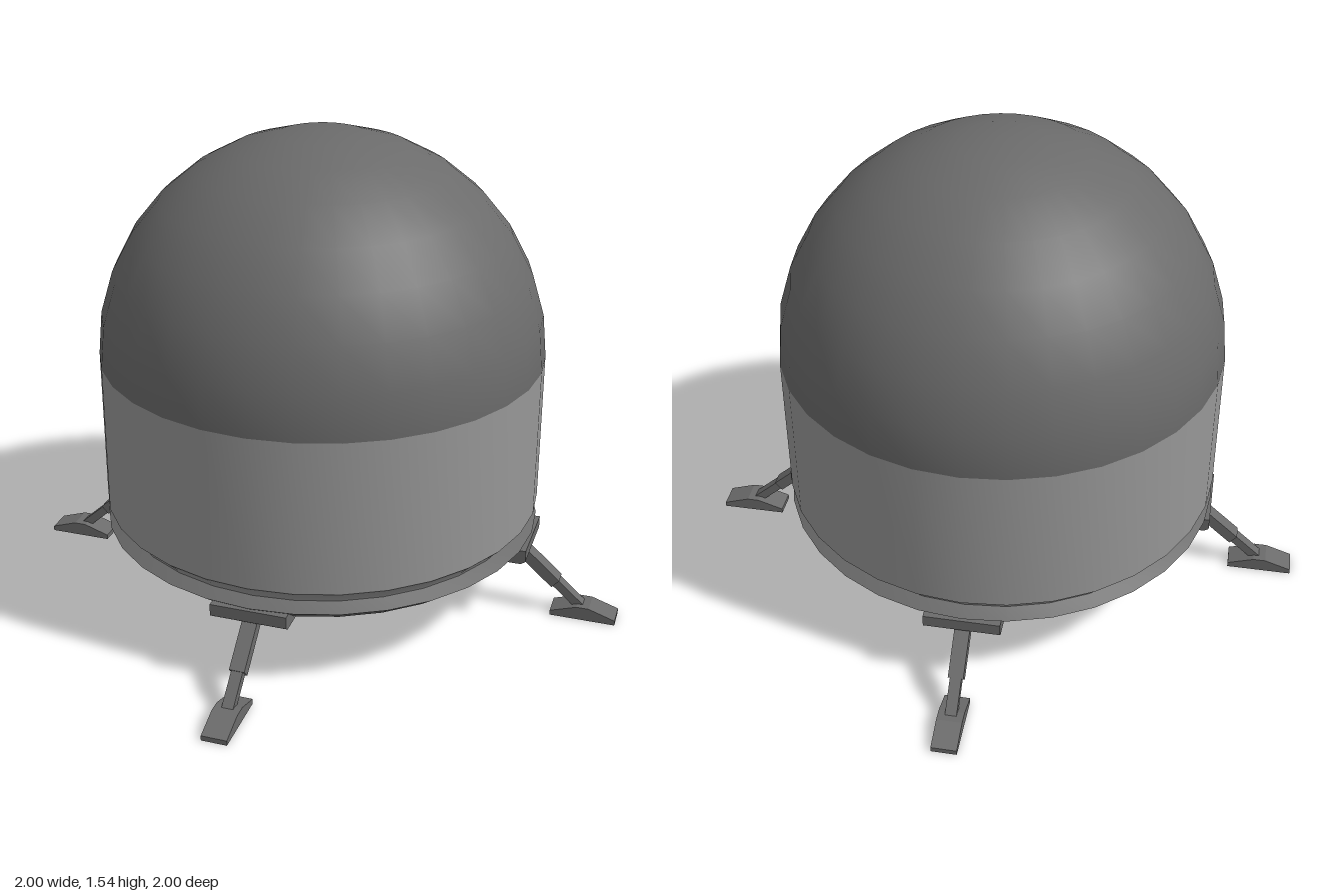
import * as THREE from 'three';
import { toCreasedNormals } from 'three/addons/utils/BufferGeometryUtils.js';

const SIDES = 32;
const RADIUS = 0.71;

const shellGrey = new THREE.MeshStandardMaterial({ color: 0x979797 });
shellGrey.name = 'shellGrey';
const darkGrey = new THREE.MeshStandardMaterial({ color: 0x6b6b6b });
darkGrey.name = 'darkGrey';

function part(name, geometry, material) {
  const mesh = new THREE.Mesh(geometry, material);
  mesh.name = name;
  return mesh;
}

// Turned shape with sharp profile corners and smooth roundness
function turned(points) {
  const profile = points.map(([r, y]) => new THREE.Vector2(r, y));
  return toCreasedNormals(new THREE.LatheGeometry(profile, SIDES), 0.5);
}

// Side profile (radial, height) extruded symmetrically across the given width
function slab(points, width) {
  const shape = new THREE.Shape(points.map(([x, y]) => new THREE.Vector2(x, y)));
  const geometry = new THREE.ExtrudeGeometry(shape, { depth: width, bevelEnabled: false });
  return geometry.translate(0, 0, -width / 2);
}

// Square bar running between two points of the leg plane
function bar(from, to, thickness, width) {
  const dx = to[0] - from[0], dy = to[1] - from[1];
  const geometry = new THREE.BoxGeometry(Math.hypot(dx, dy), thickness, width);
  geometry.rotateZ(Math.atan2(dy, dx));
  return geometry.translate((from[0] + to[0]) / 2, (from[1] + to[1]) / 2, 0);
}

// One landing leg pointing along +x
function createLeg() {
  const leg = new THREE.Group();
  leg.name = 'landingLeg';
  leg.add(
    part('legMount', slab([[0.62, 0.218], [0.7, 0.218], [0.714, 0.228], [0.714, 0.266], [0.62, 0.266]], 0.24), darkGrey),
    part('upperStrut', bar([0.655, 0.235], [0.8, 0.107], 0.036, 0.048), darkGrey),
    part('lowerStrut', bar([0.79, 0.116], [0.885, 0.032], 0.028, 0.036), darkGrey),
    part('footPad', slab([[0.79, 0], [1, 0], [1, 0.016], [0.915, 0.044], [0.875, 0.044], [0.79, 0.016]], 0.08), darkGrey)
  );
  return leg;
}

export function createModel() {
  const model = new THREE.Group();
  model.name = 'landingPod';

  // Domed roof
  const dome = new THREE.SphereGeometry(RADIUS, SIDES, 8, 0, Math.PI * 2, 0, Math.PI / 2);
  dome.translate(0, 0.83, 0);
  model.add(part('dome', dome, darkGrey));

  // Cylindrical wall with chamfered foot and closed floor
  model.add(part('hull', turned([[0, 0.285], [0.665, 0.285], [0.67, 0.3], [RADIUS, 0.34], [RADIUS, 0.83]]), shellGrey));

  // Faceted ring under the hull
  model.add(part('baseRing', turned([[0.61, 0.275], [0.655, 0.23], [RADIUS, 0.272], [0.665, 0.294], [0.61, 0.275]]), darkGrey));

  // Four legs around the base
  for (let i = 0; i < 4; i++) {
    const leg = createLeg();
    leg.rotation.y = (i * Math.PI) / 2;
    model.add(leg);
  }
  return model;
}
